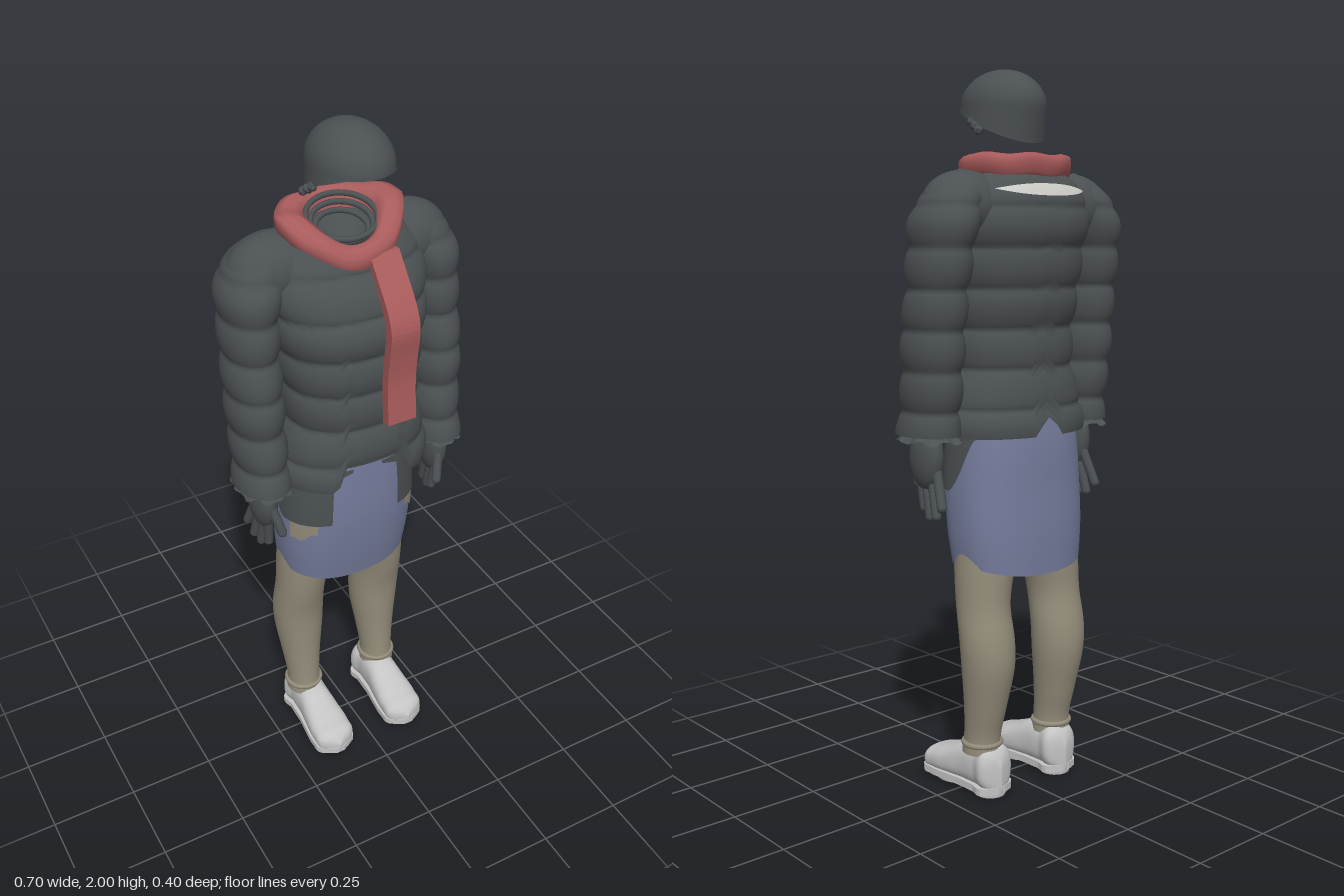
import * as THREE from 'three';

const mat = (name, color) => new THREE.MeshStandardMaterial({ name, color, side: THREE.DoubleSide });
const M = {
  dark: mat('charcoal padding', 0x4b5052),
  red: mat('scarf red', 0xa95b5b),
  blue: mat('skirt blue', 0x757c9c),
  tan: mat('stocking tan', 0x938c7a),
  grey: mat('shoe grey', 0xc4c4c4),
  white: mat('shirt white', 0xcfcfca),
};
const PI = Math.PI;
const mix = THREE.MathUtils.lerp, smooth = THREE.MathUtils.smoothstep;
const spow = (c, p) => Math.sign(c) * Math.abs(c) ** p;

// Grid surface from a rule p(u, v); u may wrap round
function surf(nu, nv, p, wrap = true) {
  const pos = [], idx = [], w = wrap ? nu : nu + 1;
  for (let j = 0; j <= nv; j++) for (let i = 0; i < w; i++) pos.push(...p(i / nu, j / nv));
  for (let j = 0; j < nv; j++) for (let i = 0; i < nu; i++) {
    const a = j * w + i, b = j * w + (i + 1) % w;
    idx.push(a, b, a + w, b, b + w, a + w);
  }
  const g = new THREE.BufferGeometry();
  g.setAttribute('position', new THREE.Float32BufferAttribute(pos, 3));
  g.setIndex(idx);
  g.computeVertexNormals();
  return g;
}

// Smooth lookup through rows of [key, ...values], keys ascending
function table(rows) {
  const n = rows[0].length - 1;
  const it = new THREE.CubicInterpolant(rows.map(r => r[0]), rows.flatMap(r => r.slice(1)), n, new Float32Array(n));
  return k => Array.from(it.evaluate(k));
}

// Point on a horizontal section; rows hold [y, xCentre, xRadius, zCentre, zRadius]
const ring = (t, a, y, off = 0, pow = 1, s = 1) => {
  const [xc, rx, zc, rz] = t(y);
  return [xc * s + (Math.max(rx, 0) + off) * spow(Math.sin(a), pow), y, zc + (Math.max(rz, 0) + off) * spow(Math.cos(a), pow)];
};

const torso = table([
  [1.0, 0, .212, -.012, .163], [1.07, 0, .215, -.012, .163], [1.15, 0, .192, -.008, .152], [1.2, 0, .18, -.008, .148],
  [1.3, 0, .182, -.006, .148], [1.4, 0, .192, -.012, .156], [1.5, 0, .205, -.017, .16], [1.58, 0, .212, -.036, .15],
  [1.65, 0, .208, -.05, .132], [1.7, 0, .178, -.053, .113], [1.72, 0, .15, -.048, .1], [1.76, 0, .1, -.04, .085]]);
const sleeve = table([
  [1.03, .272, .064, 0, .09], [1.1, .27, .062, -.008, .087], [1.2, .272, .062, -.02, .088], [1.3, .272, .064, -.025, .092],
  [1.4, .27, .063, -.038, .09], [1.55, .263, .068, -.052, .098], [1.6, .255, .073, -.056, .098], [1.65, .235, .075, -.06, .086],
  [1.69, .218, .058, -.06, .066], [1.72, .205, .02, -.06, .02], [1.73, .205, 0, -.06, 0]]);
const skirt = table([
  [.62, 0, .19, -.055, .126], [.75, 0, .203, -.045, .138], [.87, 0, .202, -.037, .142], [1, 0, .19, -.035, .14], [1.12, 0, .17, -.03, .13]]);
const leg = table([
  [.12, .132, .054, -.055, .058], [.16, .132, .05, -.057, .054], [.25, .132, .058, -.07, .062], [.38, .132, .074, -.083, .077],
  [.45, .133, .077, -.08, .078], [.55, .132, .073, -.062, .08], [.65, .122, .08, -.055, .088], [.95, .1, .075, -.04, .09]]);
const shoe = table([
  [-.132, 0, .09], [-.12, .04, .125], [-.06, .05, .146], [0, .052, .138], [.05, .058, .115],
  [.11, .062, .092], [.155, .05, .074], [.177, 0, .045]]);

// Quilted bulges, fading out at the shoulder
const puff = y => .014 * Math.abs(Math.sin(PI * (y - 1.2) / .108)) ** .6 * (1 - smooth(y, 1.62, 1.7));

export function createModel() {
  const root = new THREE.Group();
  const add = (name, geo, m, parent = root) => {
    const mesh = new THREE.Mesh(geo, m);
    mesh.name = name;
    parent.add(mesh);
    return mesh;
  };

  // Open-faced cap with a rim sloping down to the nape
  add('cap', surf(48, 24, (u, v) => {
    const a = u * 2 * PI, t = Math.max(0, (v - .3) / .7) * PI / 2;
    const x = .106 * Math.sin(a) * Math.cos(t), z = .005 + .132 * Math.cos(a) * Math.cos(t);
    if (v >= .3) return [x, 1.9 + .1 * Math.sin(t), z];
    const k = 1 - v / .3, rim = Math.min(1.9, 1.853 + .42 * z);
    return [x * (1 + .03 * k), mix(1.9, rim, k), z * (1 - .12 * k * smooth(-z, 0, .13))];
  }), M.dark);
  for (const s of [-1, 1]) for (let i = 0; i < 3; i++) {
    const scrap = add('earScrap', new THREE.IcosahedronGeometry(.014, 0), M.dark);
    scrap.position.set(s * (.106 + .003 * i), 1.857 - .012 * i, .012 - .018 * i);
    scrap.rotation.set(i, i * 2, s);
  }

  // Jacket body with a notched hem and a low front neckline
  const hem = a => {
    const f = Math.abs(Math.atan2(Math.sin(a), Math.cos(a)));
    return 1.02 + .07 * (1 - smooth(f, .35, .48)) + .05 * smooth(f, 2.98, 3.12);
  };
  add('jacketBody', surf(72, 100, (u, v) => {
    const a = u * 2 * PI, top = 1.745 - .06 * Math.max(0, Math.cos(a)) ** 2;
    const y = mix(hem(a), top, v);
    return ring(torso, a, y, puff(y), .87);
  }), M.dark);
  // Gathered layers and lining inside the neck
  for (let i = 0; i < 3; i++) {
    const g = new THREE.TorusGeometry(.095 - .012 * i, .008, 8, 40).rotateX(PI / 2 + .3).scale(1, 1, .85);
    add('innerCollar', g, M.dark).position.set(0, 1.735 - .016 * i, -.035);
  }
  add('neckLining', surf(40, 6, (u, v) => {
    const a = u * 2 * PI, r = mix(.055, .125, v);
    return [r * Math.sin(a), mix(1.64, 1.735, v) - .055 * v * Math.max(0, Math.cos(a)), -.04 + .8 * r * Math.cos(a)];
  }), M.dark);
  // Shirt showing through a slit across the upper back
  add('shirtSlit', surf(30, 3, (u, v) => {
    const a = PI + (u - .5) * 1.7, y = 1.677 + (v - .5) * .032 * Math.sin(u * PI);
    return ring(torso, a, y, puff(y) + .005, .87);
  }, false), M.white);

  // Scarf collar draped round the neck, dipping at the front
  const fold = [[-.1, -.035], [0, 0], [.3, .012], [.7, .014], [1, .006], [1.03, -.012], [.97, -.04], [.7, -.045]];
  add('scarfCollar', surf(56, fold.length - 1, (u, v) => {
    const a = u * 2 * PI, [k, dy] = fold[Math.round(v * (fold.length - 1))];
    const front = Math.max(0, Math.cos(a)), wave = .004 * Math.sin(7 * a) * k;
    const narrow = 1 - .2 * front * Math.abs(Math.sin(a));
    const y = 1.753 - .06 * front ** 1.5 + .006 * k * (1 - 4 * front) + dy;
    return [mix(.1, .176, k) * Math.sin(a) * narrow, y + wave, -.037 + mix(.084, .128, k) * Math.cos(a)];
  }), M.red);
  // Hanging scarf end
  const edge = new THREE.SplineCurve([[.085, 1.675], [.125, 1.625], [.175, 1.56], [.198, 1.5], [.19, 1.42], [.184, 1.34], [.192, 1.225]]
    .map(p => new THREE.Vector2(...p))).getPoints(30);
  const back = edge.map(p => new THREE.Vector2(p.x - .028, p.y - .004)).reverse();
  add('scarfTail', new THREE.ExtrudeGeometry(new THREE.Shape([...edge, ...back]), { depth: .084, bevelEnabled: false })
    .rotateY(-PI / 2).translate(.098, 0, 0), M.red);

  // Skirt
  add('skirt', surf(64, 24, (u, v) => {
    const a = u * 2 * PI;
    return ring(skirt, a, mix(.635 + .028 * Math.sin(a) ** 2, 1.12, v), 0, .82);
  }), M.blue);

  for (const s of [-1, 1]) {
    const side = new THREE.Group();
    side.name = s > 0 ? 'leftSide' : 'rightSide';
    root.add(side);

    // Thin panel lying on the skirt between two angles
    const panel = (name, m, a0, a1, low, high, off) => add(name, surf(20, 6, (u, v) => {
      const k = s > 0 ? u : 1 - u;
      return ring(skirt, s * mix(a0, a1, k), mix(low(k), high, v), off, .82);
    }, false), m, side);
    panel('underlayerPanel', M.dark, .45, 1.95, k => .868 + .15 * smooth(k, .65, 1), 1.06, .007);
    panel('hemTab', M.dark, .17, .5, k => mix(1.04, 1.018, k), 1.05, .009);
    panel('stockingPatch', M.tan, .68, 1.25, k => .8 + .03 * (1 - k) + .008 * Math.sin(9 * k), .88, .004);

    // Rounded shoulder joining body and sleeve
    const shoulder = add('shoulder', new THREE.SphereGeometry(1, 32, 24), M.dark, side);
    shoulder.scale.set(.125, .095, .092);
    shoulder.position.set(s * .19, 1.632, -.055);

    // Padded sleeve and frilled cuff
    add('sleeve', surf(40, 80, (u, v) => {
      const y = mix(1.03, 1.73, v);
      return ring(sleeve, u * 2 * PI, y, puff(y) * Math.min(1, (1 - v) * 12), 1, s);
    }), M.dark, side);
    add('cuffFrill', surf(60, 6, (u, v) => {
      const a = u * 2 * PI, flare = .012 * (1 - v) + .006 * Math.sin(11 * a) * (1 - v);
      const p = ring(sleeve, a, 1.06, flare - .018 * Math.sin(v * PI), 1, s);
      return [p[0], mix(1.015, 1.07, v) + .006 * Math.sin(7 * a) * (1 - v), p[2]];
    }), M.dark, side);

    // Gloved hand: palm, four fingers and a thumb turned inward
    const palm = add('glovePalm', new THREE.SphereGeometry(1, 24, 16), M.dark, side);
    palm.scale.set(.037, .09, .06);
    palm.position.set(s * .273, .967, .005);
    const digits = [[-.04, .93, -.075, .84, .285], [-.016, .92, -.045, .812, .28], [.01, .915, -.012, .806, .275],
      [.035, .925, .022, .826, .268], [.045, .98, .075, .885, .25]];
    for (const [z0, y0, z1, y1, x1] of digits) {
      const a = new THREE.Vector3(s * .272, y0, z0), b = new THREE.Vector3(s * x1, y1, z1);
      const d = b.clone().sub(a);
      const f = add('gloveFinger', new THREE.CapsuleGeometry(.0135, d.length(), 6, 12), M.dark, side);
      f.position.copy(a).addScaledVector(d, .5);
      f.quaternion.setFromUnitVectors(new THREE.Vector3(0, 1, 0), d.normalize());
    }

    // Stockinged leg with a gathered ankle
    add('leg', surf(32, 40, (u, v) => ring(leg, u * 2 * PI, mix(.12, .95, v), 0, 1, s)), M.tan, side);
    const ankle = add('ankleGather', new THREE.TorusGeometry(.052, .008, 8, 32).rotateX(PI / 2), M.tan, side);
    ankle.position.set(s * .132, .148, -.057);

    // Shoe upper, sole and heel
    const cx = s * .124;
    add('shoeUpper', surf(32, 40, (u, v) => {
      const z = mix(.177, -.132, v), [w, top] = shoe(z), a = u * 2 * PI;
      return [cx + w * spow(Math.sin(a), .8), mix(.014, top, .5 + .5 * spow(Math.cos(a), .8)), z];
    }), M.grey, side);
    const outline = [];
    for (let i = 0; i <= 24; i++) {
      const z = mix(.176, -.131, i / 24);
      outline.push(new THREE.Vector2(Math.max(.01, shoe(z)[0]) + .002, -z));
    }
    const sole = new THREE.Shape([...outline, ...outline.map(p => new THREE.Vector2(-p.x, p.y)).reverse()]);
    add('shoeSole', new THREE.ExtrudeGeometry(sole, { depth: .02, bevelEnabled: false })
      .rotateX(-PI / 2).translate(cx, .012, 0), M.grey, side);
    const heel = add('shoeHeel', new THREE.CylinderGeometry(.045, .043, .016, 24), M.grey, side);
    heel.position.set(cx, .008, -.082);
    const ball = add('shoeTread', new THREE.CylinderGeometry(.054, .05, .016, 24), M.grey, side);
    ball.position.set(cx, .008, .075);
    ball.scale.z = 1.2;
  }
  return root;
}
